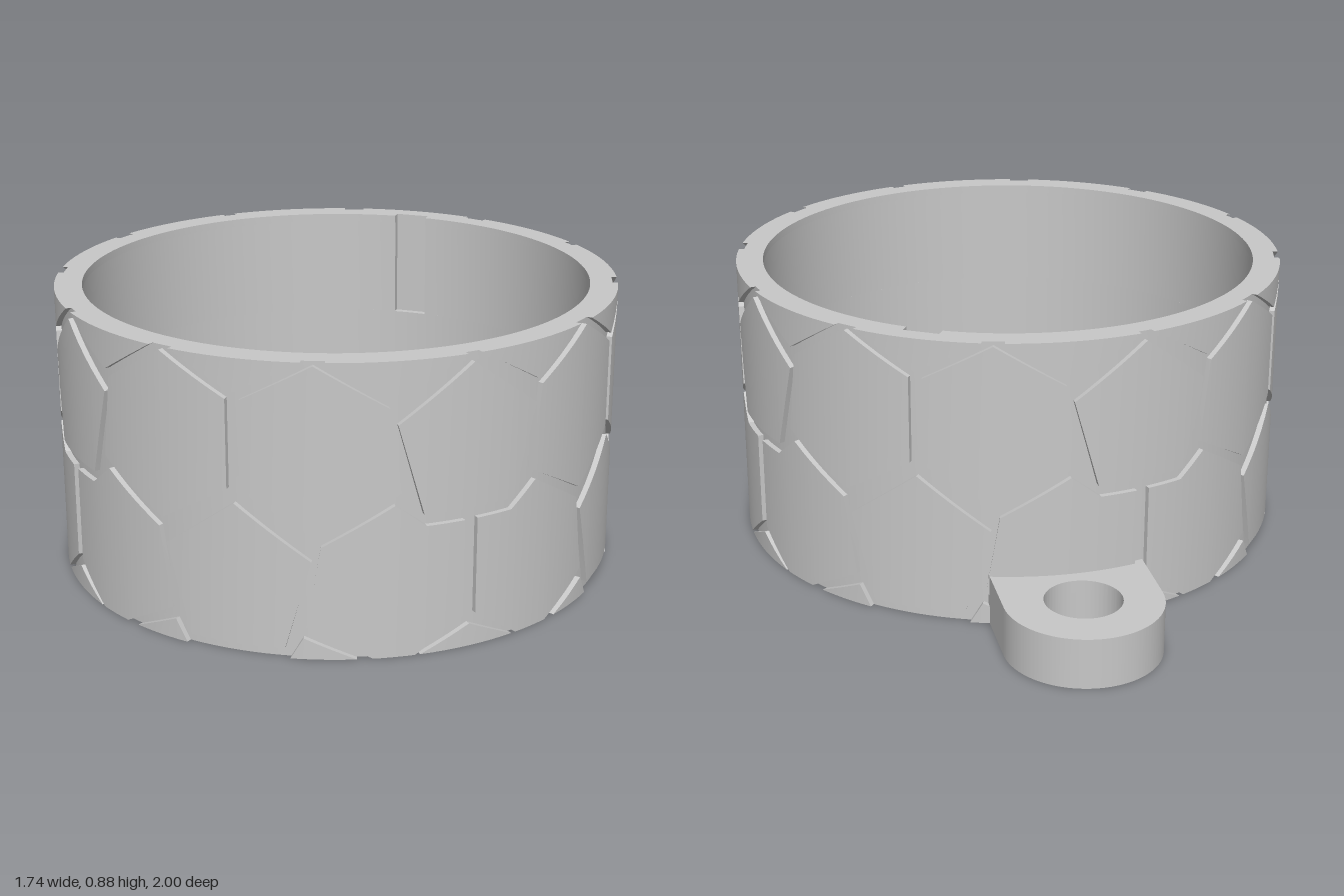
import * as THREE from 'three';
import { toCreasedNormals } from 'three/addons/utils/BufferGeometryUtils.js';

const CUP_Z = 0.13, HEIGHT = 0.885;
const R_RIM = 0.785, R_IN = 0.79, R_GROOVE = 0.853, R_OUT = 0.87;
const FLOOR = 0.06, SLOT_Y = 0.535, RIM_Y = 0.86;

// Height of a polyline [[angle, y], ...] at a given angle
function heightAt(line, a) {
  for (let i = 1; i < line.length; i++) {
    const [a0, y0] = line[i - 1], [a1, y1] = line[i];
    if (a <= a1 + 1e-6) return y0 + (y1 - y0) * (a - a0) / (a1 - a0);
  }
  return line[line.length - 1][1];
}

// Curved raised tile between a top and a bottom polyline, angles in degrees
function addTile(out, top, bottom, turn) {
  const angles = new Set([...top, ...bottom].map(p => p[0]));
  const first = Math.min(...angles), last = Math.max(...angles);
  for (let a = Math.ceil(first / 2.5) * 2.5; a < last; a += 2.5) angles.add(a);
  const cols = [...angles].sort((p, q) => p - q).map(a => {
    const t = THREE.MathUtils.degToRad(a + turn), lo = heightAt(bottom, a), hi = heightAt(top, a);
    const at = (r, y) => [r * Math.sin(t), y, r * Math.cos(t)];
    const r = R_GROOVE - 0.004;
    return { ol: at(R_OUT, lo), oh: at(R_OUT, hi), il: at(r, lo), ih: at(r, hi) };
  });
  const quad = (a, b, c, d) => out.push(...a, ...b, ...c, ...a, ...c, ...d);
  for (let i = 1; i < cols.length; i++) {
    const p = cols[i - 1], q = cols[i];
    quad(p.ol, q.ol, q.oh, p.oh);
    quad(p.oh, q.oh, q.ih, p.ih);
    quad(p.il, q.il, q.ol, p.ol);
  }
  const s = cols[0], e = cols[cols.length - 1];
  quad(s.il, s.ol, s.oh, s.ih);
  quad(e.ol, e.il, e.ih, e.oh);
}

// One kind of tile repeated every quarter turn, optionally mirrored
function tileRing(top, bottom, offset, mirrored) {
  const flip = line => line.map(([a, y]) => [-a, y]).reverse();
  const out = [];
  for (let k = 0; k < 4; k++) {
    addTile(out, top, bottom, k * 90 + offset);
    if (mirrored) addTile(out, flip(top), flip(bottom), k * 90 - offset);
  }
  const geo = new THREE.BufferGeometry();
  geo.setAttribute('position', new THREE.Float32BufferAttribute(out, 3));
  return toCreasedNormals(geo, 0.4);
}

// Upright extrusion of a plan shape (shape y points to the back)
function upright(shape, y0, y1) {
  const geo = new THREE.ExtrudeGeometry(shape, { depth: y1 - y0, bevelEnabled: false, curveSegments: 96 });
  geo.rotateX(-Math.PI / 2).translate(0, y0, 0);
  return toCreasedNormals(geo, 0.4);
}

// Wall ring whose inner side has a vertical slot at the back
function slottedRing(inner, y0, y1) {
  const shape = new THREE.Shape().absarc(0, 0, R_GROOVE, 0, Math.PI * 2, false);
  const half = 0.055, depth = 0.812, a = Math.asin(half / inner);
  const hole = new THREE.Path();
  hole.moveTo(-half, depth);
  hole.lineTo(half, depth);
  hole.lineTo(half, Math.sqrt(inner * inner - half * half));
  hole.absarc(0, 0, inner, Math.PI / 2 - a, Math.PI / 2 + a - Math.PI * 2, true);
  hole.lineTo(-half, depth);
  shape.holes.push(hole);
  return upright(shape, y0, y1);
}

export function createModel() {
  const model = new THREE.Group();
  model.name = 'tiledCup';
  const grey = new THREE.MeshStandardMaterial({ color: 0xc8c8c8 });
  grey.name = 'lightGrey';

  const cup = new THREE.Group();
  cup.name = 'cup';
  cup.position.z = CUP_Z;
  model.add(cup);
  const add = (name, geo) => {
    const mesh = new THREE.Mesh(geo, grey);
    mesh.name = name;
    cup.add(mesh);
    return mesh;
  };

  // Floor and plain lower wall
  const disc = new THREE.Shape().absarc(0, 0, R_GROOVE, 0, Math.PI * 2, false);
  add('floor', upright(disc, 0, FLOOR));
  const ring = disc.clone();
  ring.holes.push(new THREE.Path().absarc(0, 0, R_IN, 0, Math.PI * 2, true));
  add('lowerWall', upright(ring, FLOOR, SLOT_Y));

  // Slotted upper wall under a slightly narrower rim
  add('upperWall', slottedRing(R_IN, SLOT_Y, RIM_Y));
  add('rim', slottedRing(R_RIM, RIM_Y, HEIGHT));

  // Five-sided tiles, upper row turned by an eighth
  const pentTop = [[-14.6, 0.3], [0, 0.46], [14.6, 0.3]];
  const pentBottom = [[-14.6, 0.3], [-9.5, 0.03], [9.5, 0.03], [14.6, 0.3]];
  const raise = line => line.map(([a, y]) => [a, y + 0.4]);
  add('lowerPentagonTiles', tileRing(pentTop, pentBottom, 0, false));
  add('upperPentagonTiles', tileRing(raise(pentTop), raise(pentBottom), 45, false));

  // Six-sided tiles
  add('upperHexagonTiles', tileRing(
    [[1.3, 0.765], [15, 0.875], [28.9, 0.75], [31.2, 0.5]],
    [[1.3, 0.5], [15.5, 0.375], [31.2, 0.5]], 0, true));
  add('lowerHexagonTiles', tileRing(
    [[13.6, 0.1], [16.3, 0.345], [30, 0.465], [36, 0.395], [43.7, 0.395]],
    [[13.6, 0.1], [26, 0], [34, 0], [43.7, 0.1]], 0, true));

  // Tiles cut off by the rim and by the base
  add('rimTiles', tileRing([[-12.8, HEIGHT], [12.8, HEIGHT]],
    [[-12.8, HEIGHT], [0, 0.785], [12.8, HEIGHT]], 0, false));
  add('rimSideTiles', tileRing([[17.2, HEIGHT], [43.6, HEIGHT]],
    [[17.2, HEIGHT], [30, 0.77], [43.6, HEIGHT]], 0, true));
  add('baseTiles', tileRing([[-10, 0], [0, 0.07], [10, 0]], [[-10, 0], [10, 0]], 45, false));
  add('baseSideTiles', tileRing([[10.5, 0], [13, 0.065], [23, 0]], [[10.5, 0], [23, 0]], 0, true));

  // Carrying loop at the back right, pointing away from the cup axis
  const r = 0.235, dist = 1.03, end = 0.8;
  const lug = new THREE.Shape();
  lug.moveTo(r, end);
  lug.lineTo(r, dist);
  lug.absarc(0, dist, r, 0, Math.PI, false);
  lug.lineTo(-r, end);
  lug.lineTo(r, end);
  lug.holes.push(new THREE.Path().absarc(0, dist, 0.115, 0, Math.PI * 2, true));
  add('carryingLoop', upright(lug, 0, 0.155)).rotation.y = Math.PI / 6;

  return model;
}
